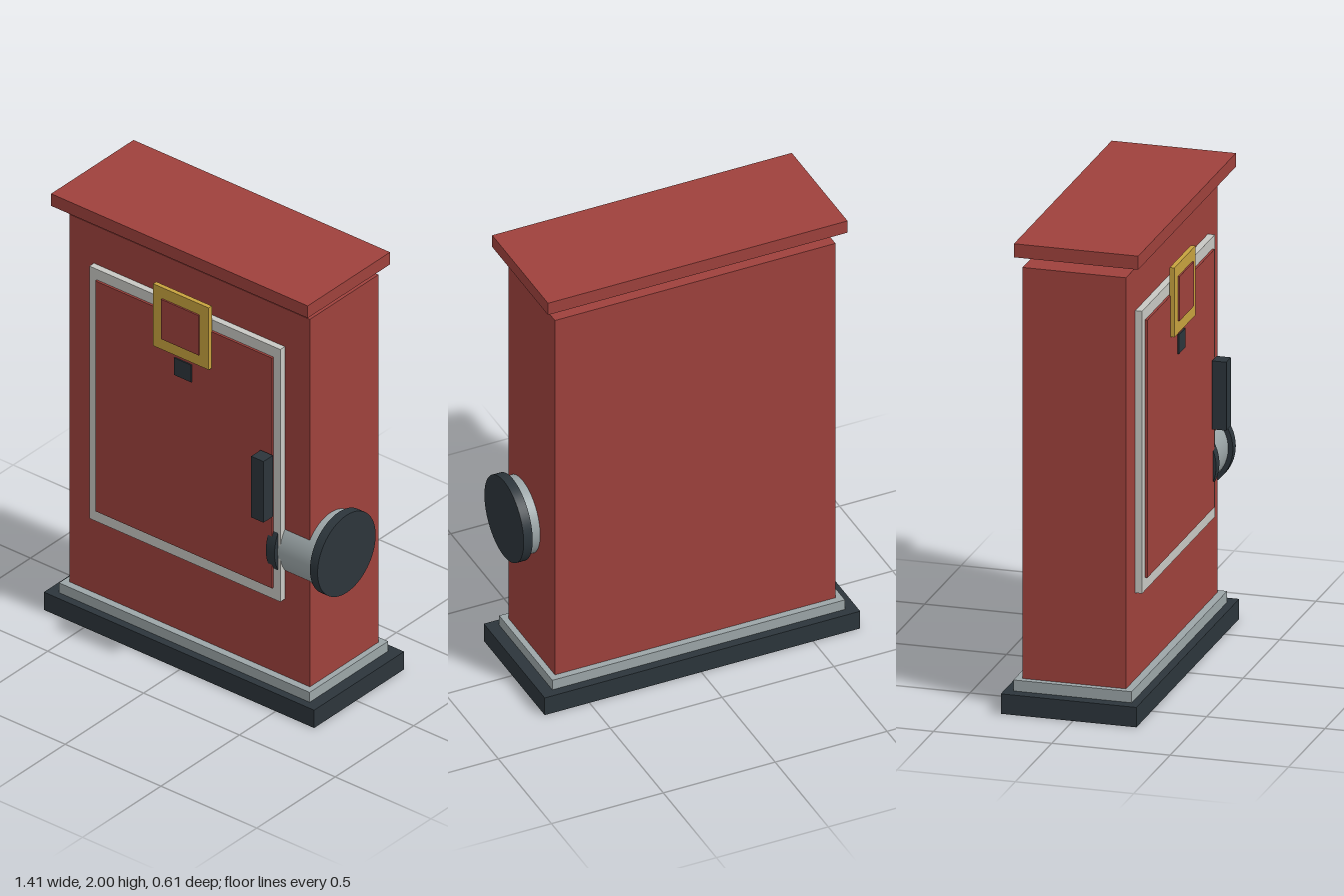
import * as THREE from 'three';

const mat = (name, color) => Object.assign(new THREE.MeshStandardMaterial({ color }), { name });

export function createModel() {
  const red = mat('red paint', 0x9e413c);
  const dark = mat('dark slate', 0x2c353b);
  const steel = mat('steel grey', 0x9ca6a8);
  const trim = mat('pale trim', 0xc8c8c3);
  const gold = mat('gold', 0xc7a23e);

  const model = new THREE.Group();
  model.name = 'cabinet';

  const add = (name, geometry, material) => {
    const mesh = new THREE.Mesh(geometry, material);
    mesh.name = name;
    model.add(mesh);
    return mesh;
  };

  // Box given by its limits on each axis
  const box = (name, material, [x0, x1], [y0, y1], [z0, z1]) =>
    add(name, new THREE.BoxGeometry(x1 - x0, y1 - y0, z1 - z0), material)
      .position.set((x0 + x1) / 2, (y0 + y1) / 2, (z0 + z1) / 2);

  // Rectangular frame with an opening, extruded towards the front
  const frame = (name, material, [x0, x1], [y0, y1], [z0, z1], [hx0, hx1], [hy0, hy1]) => {
    const rect = (a, b, c, d) => [[a, c], [b, c], [b, d], [a, d]].map(p => new THREE.Vector2(...p));
    const shape = new THREE.Shape(rect(x0, x1, y0, y1));
    shape.holes.push(new THREE.Path(rect(hx0, hx1, hy0, hy1).reverse()));
    const geometry = new THREE.ExtrudeGeometry(shape, { depth: z1 - z0, bevelEnabled: false });
    add(name, geometry, material).position.z = z0;
  };

  // Disc or drum lying along x, sharing the wheel's axis
  const drum = (name, material, radius, x0, x1) => {
    const geometry = new THREE.CylinderGeometry(radius, radius, x1 - x0, 64).rotateZ(-Math.PI / 2);
    add(name, geometry, material).position.set((x0 + x1) / 2, 0.735, 0.067);
  };

  // Stepped base, body and floating lid
  box('base', dark, [-0.71, 0.70], [0, 0.085], [-0.305, 0.268]);
  box('plinth', steel, [-0.66, 0.648], [0.085, 0.132], [-0.267, 0.233]);
  box('body', red, [-0.632, 0.622], [0.132, 1.887], [-0.237, 0.2]);
  box('lid', red, [-0.675, 0.664], [1.942, 2], [-0.26, 0.265]);

  // Door with its pale surround
  frame('doorSurround', trim, [-0.505, 0.492], [0.5, 1.705], [0.2, 0.229], [-0.466, 0.457], [0.555, 1.655]);
  box('doorPanel', red, [-0.466, 0.457], [0.555, 1.655], [0.2, 0.239]);

  // Gold badge frame around a raised panel, with a tab below
  frame('badgeFrame', gold, [-0.15, 0.14], [1.48, 1.776], [0.236, 0.256], [-0.103, 0.093], [1.534, 1.724]);
  box('badgePanel', red, [-0.103, 0.093], [1.534, 1.724], [0.236, 0.263]);
  box('tab', dark, [-0.05, 0.039], [1.375, 1.457], [0.236, 0.245]);

  // Door handle
  box('handle', dark, [0.402, 0.466], [0.905, 1.197], [0.245, 0.305]);

  // Reel passing through the side wall
  drum('reelInnerCap', dark, 0.185, 0.435, 0.48);
  drum('reelDrum', steel, 0.165, 0.48, 0.665);
  drum('reelOuterCap', dark, 0.185, 0.665, 0.705);

  return model;
}
